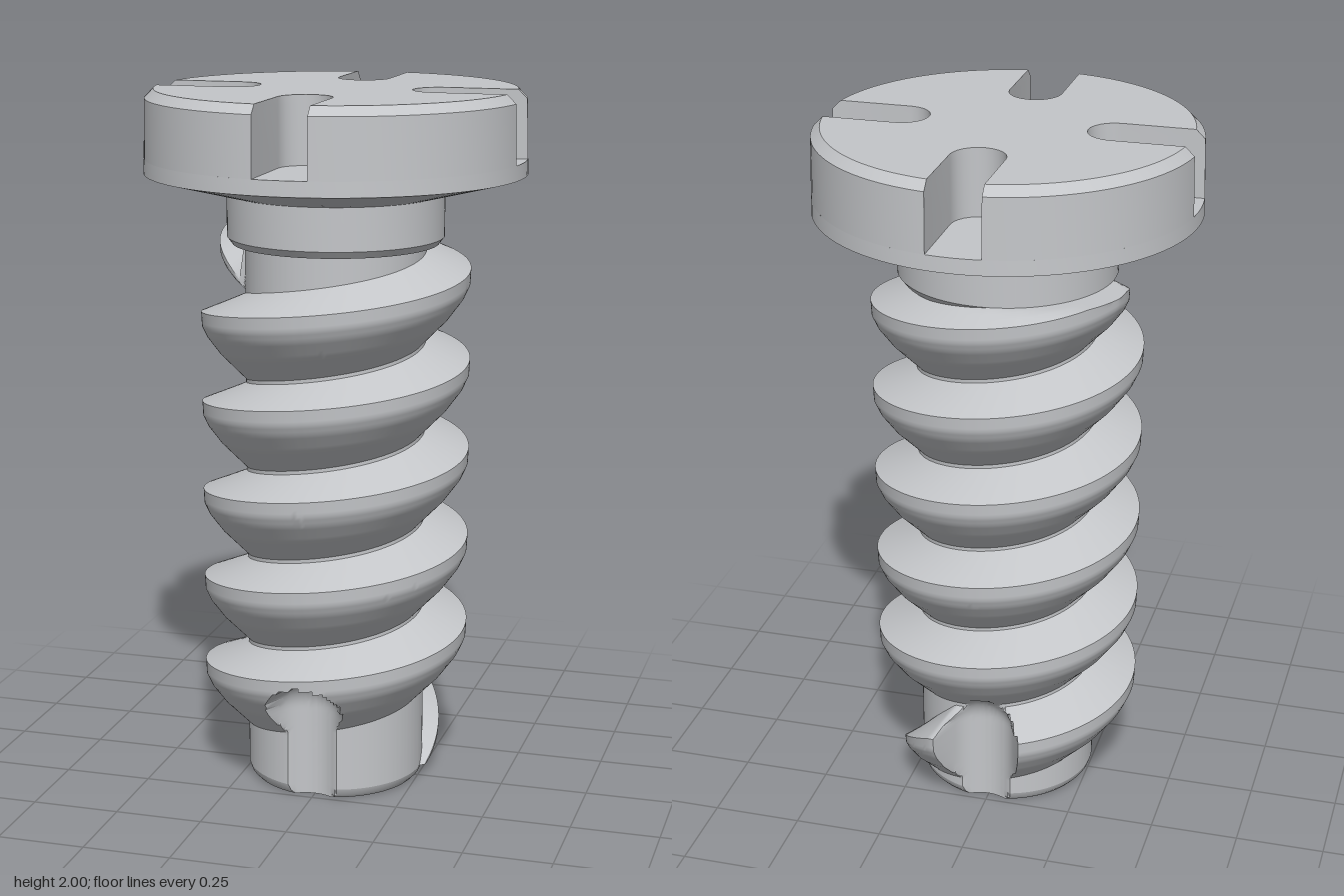
import * as THREE from 'three';
import { toCreasedNormals } from 'three/addons/utils/BufferGeometryUtils.js';

const TAU = Math.PI * 2;
const SEG = 240;          // columns per turn
const ROWS = 25;          // rows per pitch
const PITCH = 0.2575;
const CORE = 0.255;       // shank radius
const BASE = 0.03, TOP = 1.59;

// Radius left after two vertical ball-ended flutes are cut at +z and -z.
function carve(angle, y, r) {
  const d = 0.317, across = d * Math.cos(angle);
  const up = Math.max(0, y - 0.265);
  const reach = 0.01 - up * up - across * across;
  if (reach <= 0) return r;
  return Math.min(r, d * Math.abs(Math.sin(angle)) - Math.sqrt(reach));
}

// Thread tooth: [row, height above the shank], counted up from the lower root.
const tooth = [[0, 0], [7, 0.071], [12, 0.109], [15, 0.123], [19, 0.125], [24, 0], [25, 0]];
function toothHeight(row) {
  const i = Math.max(1, tooth.findIndex(([at]) => row <= at));
  const [u0, h0] = tooth[i - 1], [u1, h1] = tooth[i];
  return h0 + (h1 - h0) * (row - u0) / (u1 - u0);
}

// Thread size along its turns: it grows in at the tip and runs out below the neck.
function threadSize(turn) {
  const grow = (turn + 0.02) / 0.21;
  const fade = Math.sqrt(Math.max(0, (5.565 - turn) / 0.13));
  return Math.max(0, Math.min(1, grow, fade));
}

// Shank and thread as one helical strip, one pitch tall, wound up the axis.
function threadGeometry() {
  const first = -SEG, last = Math.round(6.2 * SEG);
  const positions = [], index = [];
  for (let c = first; c <= last; c++) {
    const turn = c / SEG, a = turn * TAU, size = threadSize(turn);
    for (let i = 0; i <= ROWS; i++) {
      const squeeze = size > 0 && i < ROWS ? size : 1;
      const rise = 0.0075 + PITCH * (turn + squeeze * i / ROWS);
      const y = THREE.MathUtils.clamp(rise, BASE, TOP);
      const height = rise > BASE ? toothHeight(i) * size : 0;
      const r = carve(a, y, CORE + height);
      positions.push(r * Math.cos(a), y, -r * Math.sin(a));
    }
  }
  // Skip faces squashed onto the tip's rim
  const face = (...corners) => {
    if (corners.some((k) => positions[k * 3 + 1] > BASE)) index.push(...corners);
  };
  for (let c = 0; c < last - first; c++) {
    for (let i = 0; i < ROWS; i++) {
      const p = c * (ROWS + 1) + i, q = p + ROWS + 1;
      face(p, q, q + 1);
      face(p, q + 1, p + 1);
    }
  }
  const g = new THREE.BufferGeometry();
  g.setAttribute('position', new THREE.Float32BufferAttribute(positions, 3));
  g.setIndex(index);
  return toCreasedNormals(g, 0.6);
}

function lathe(points, segments) {
  return new THREE.LatheGeometry(points.map(([r, y]) => new THREE.Vector2(r, y)), segments);
}

// Chamfered tip, notched by the flutes.
function tipGeometry() {
  const g = lathe([[0, 0], [0.238, 0], [0.249, 0.012], [CORE, BASE]], SEG);
  const p = g.attributes.position;
  for (let i = 0; i < p.count; i++) {
    const x = p.getX(i), y = p.getY(i), z = p.getZ(i), r = Math.hypot(x, z);
    if (r < 0.01) continue;
    const k = carve(Math.atan2(-z, x), y, r) / r;
    p.setXYZ(i, x * k, y, z * k);
  }
  return toCreasedNormals(g, 0.6);
}

// Slotted upper head: round outline with four round-ended slots, chamfered at the top rim.
function crownGeometry() {
  const R = 0.532, half = 0.075, end = 0.295, gap = Math.asin(half / R);
  const points = [];
  for (let k = 0; k < 4; k++) {
    const start = k * Math.PI / 2, next = start + Math.PI / 2;
    for (let i = 0; i <= 24; i++) {
      const t = start + gap + (Math.PI / 2 - 2 * gap) * i / 24;
      points.push(new THREE.Vector2(R * Math.cos(t), R * Math.sin(t)));
    }
    for (let i = 0; i <= 12; i++) {
      const t = Math.PI * i / 12;
      const along = end - half * Math.sin(t), side = -half * Math.cos(t);
      points.push(new THREE.Vector2(along, side).rotateAround(new THREE.Vector2(), next));
    }
  }
  const g = new THREE.ExtrudeGeometry(new THREE.Shape(points), { depth: 0.19, steps: 2, bevelEnabled: false });
  const p = g.attributes.position;
  for (let i = 0; i < p.count; i++) {
    const x = p.getX(i), y = p.getY(i), z = p.getZ(i), r = Math.hypot(x, y);
    if (z > 0.05 && z < 0.15) p.setZ(i, 0.165);
    if (z > 0.05 && r > 0.5) {
      // Draw the rim in along the radius but keep the slot walls straight
      const rim = z > 0.15 ? 0.503 : 0.528;
      const ax = Math.abs(x), ay = Math.abs(y);
      if (Math.min(ax, ay) > half + 0.001) p.setXY(i, x * rim / r, y * rim / r);
      else if (ax < ay) p.setY(i, Math.sign(y) * Math.sqrt(rim * rim - x * x));
      else p.setX(i, Math.sign(x) * Math.sqrt(rim * rim - y * y));
    }
  }
  g.rotateX(-Math.PI / 2).translate(0, 1.81, 0);
  return toCreasedNormals(g, 0.5);
}

export function createModel() {
  const steel = new THREE.MeshStandardMaterial({ color: 0xc4c6c9 });
  steel.name = 'steel grey';
  const model = new THREE.Group();
  model.name = 'screw';
  const add = (name, geometry) => {
    const mesh = new THREE.Mesh(geometry, steel);
    mesh.name = name;
    model.add(mesh);
  };

  add('tip', tipGeometry());
  add('threadedShank', threadGeometry());
  // Neck and the cone under the head, closed by the slot floors
  add('neckAndHeadUnderside', toCreasedNormals(lathe([
    [0.2, 1.57], [0.29, 1.57], [0.305, 1.59], [0.305, 1.71],
    [0.534, 1.768], [0.532, 1.81], [0, 1.81],
  ], 96), 0.25));
  add('slottedHead', crownGeometry());
  return model;
}
